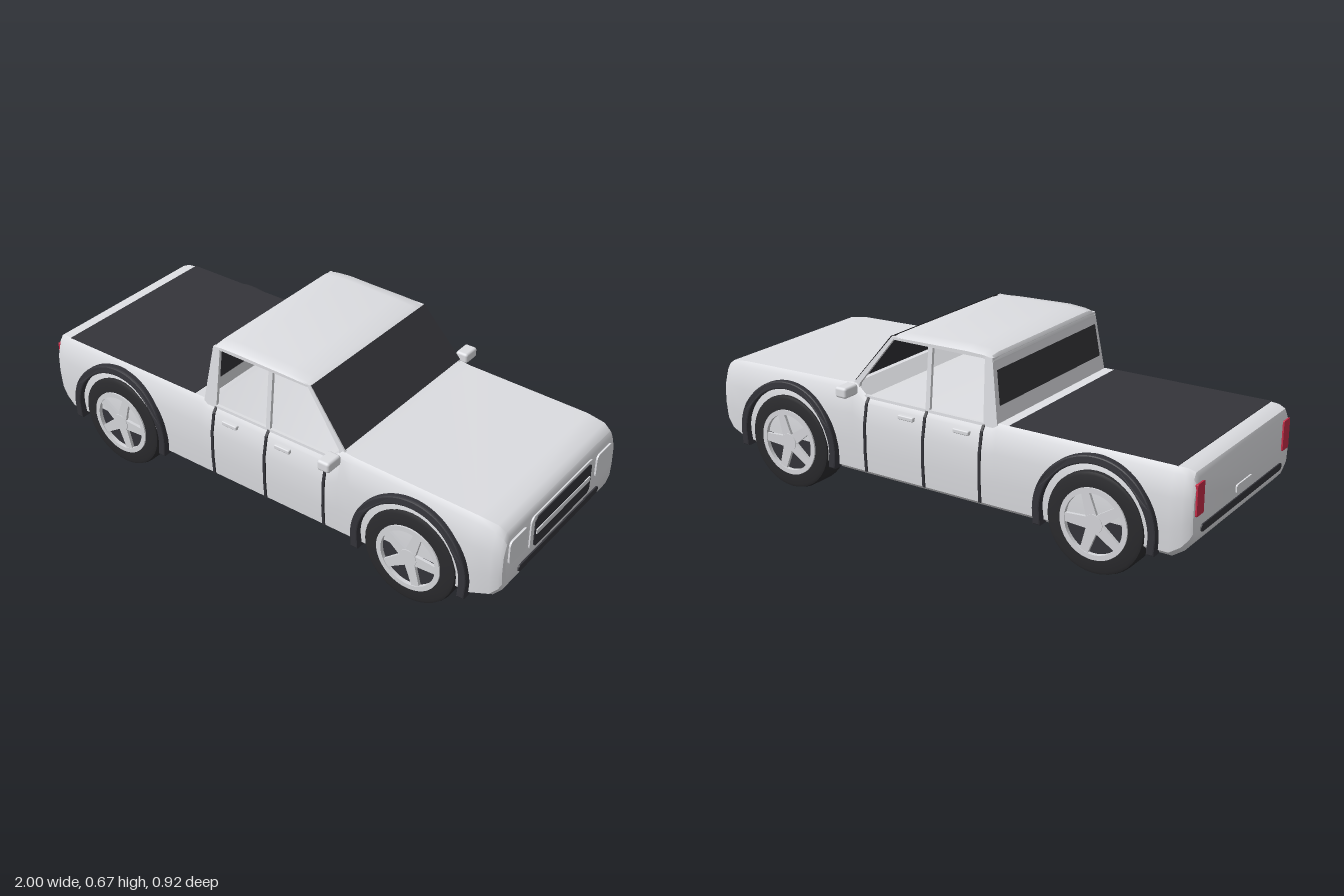
import * as THREE from 'three';
import { toCreasedNormals } from 'three/addons/utils/BufferGeometryUtils.js';
import { RoundedBoxGeometry } from 'three/addons/geometries/RoundedBoxGeometry.js';

const material = (name, color, side = THREE.FrontSide) => {
  const m = new THREE.MeshStandardMaterial({ color, side });
  m.name = name;
  return m;
};

// Joins rings of [x, y, z] points running up the +z side and down the -z side.
function loft(rings, crease) {
  const n = rings[0].length, index = [];
  for (let i = 0; i < rings.length - 1; i++) {
    for (let k = 0; k < n; k++) {
      const a = i * n + k, b = i * n + (k + 1) % n, c = b + n, d = a + n;
      index.push(a, d, b, b, d, c);
    }
  }
  const last = (rings.length - 1) * n;
  for (let k = 1; k < n - 1; k++) index.push(0, k, k + 1, last, last + k + 1, last + k);
  const g = new THREE.BufferGeometry();
  g.setAttribute('position', new THREE.Float32BufferAttribute(rings.flat(2), 3));
  g.setIndex(index);
  return toCreasedNormals(g, crease);
}

// Completes a half section [z, y] into a symmetric ring at x.
const ring = (x, half) => [
  ...half.map(([z, y]) => [x, y, z]),
  ...half.slice().reverse().map(([z, y]) => [x, y, -z]),
];

// Copies a geometry to the other side with its winding corrected.
function mirrorZ(geometry) {
  const g = geometry.index ? geometry.toNonIndexed() : geometry.clone();
  g.scale(1, 1, -1);
  for (const key of ['position', 'normal']) {
    const a = g.attributes[key];
    for (let i = 0; i < a.count; i += 3) {
      const p = [a.getX(i), a.getY(i), a.getZ(i)];
      a.setXYZ(i, a.getX(i + 1), a.getY(i + 1), a.getZ(i + 1));
      a.setXYZ(i + 1, ...p);
    }
  }
  return g;
}

// Moves each vertex sideways by a rule of its height.
function lean(g, rule) {
  const p = g.attributes.position;
  for (let i = 0; i < p.count; i++) p.setZ(i, p.getZ(i) + rule(p.getY(i)));
  g.computeVertexNormals();
  return g;
}

const polygon = (pts) => new THREE.Shape(pts.map((p) => new THREE.Vector2(...p)));

// Rounded plate in the z-y plane, centred on (x, y, z).
function endPlate(x, y, z, w, h, r, depth = 0.009) {
  const a = w / 2 - r, b = h / 2 - r, s = new THREE.Shape();
  s.absarc(a, b, r, 0, Math.PI / 2);
  s.absarc(-a, b, r, Math.PI / 2, Math.PI);
  s.absarc(-a, -b, r, Math.PI, Math.PI * 1.5);
  s.absarc(a, -b, r, Math.PI * 1.5, Math.PI * 2);
  const g = new THREE.ExtrudeGeometry(s, { depth, bevelEnabled: false, curveSegments: 5 });
  return g.translate(0, 0, -depth / 2).rotateY(Math.PI / 2).translate(x, y, z);
}

// Flat four-cornered panel across the car, between two [x, y, halfWidth] edges.
function crossPanel([x0, y0, w0], [x1, y1, w1]) {
  const g = new THREE.BufferGeometry();
  g.setAttribute('position', new THREE.Float32BufferAttribute(
    [x0, y0, w0, x0, y0, -w0, x1, y1, -w1, x1, y1, w1], 3));
  g.setIndex([0, 1, 2, 0, 2, 3]);
  g.computeVertexNormals();
  return g;
}

export function createModel() {
  const paint = material('paint', 0xdddee2);
  const panel = material('panel paint', 0xdddee2, THREE.DoubleSide);
  const dark = material('dark trim', 0x34343a);
  const glass = material('dark glass', 0x343439, THREE.DoubleSide);
  const rubber = material('rubber', 0x2b2b2e);
  const alloy = material('alloy', 0xd6d7db);
  const red = material('red lamp', 0xc52c48);

  const model = new THREE.Group();
  const add = (name, geometry, mat) => {
    const mesh = new THREE.Mesh(geometry, mat);
    mesh.name = name;
    model.add(mesh);
  };
  const pair = (name, geometry, mat) => {
    add(name + 'Near', geometry, mat);
    add(name + 'Far', mirrorZ(geometry), mat);
  };

  // Lower body: half sections along the length
  const section = (yb, yt, s) => {
    const at = (t) => yb + (yt - yb) * t;
    return [[0.355, yb], [0.384, yb + 0.022], [0.389, at(0.35)], [0.387, at(0.68)],
      [0.372, yt - 0.02], [0.357, yt]].map(([z, y]) => [z * s, y]);
  };
  const stations = [
    [-0.994, 0.2, 0.405, 0.955], [-0.985, 0.18, 0.422, 0.97], [-0.96, 0.15, 0.432, 0.985],
    [-0.92, 0.124, 0.434, 1], [-0.262, 0.121, 0.434, 1], [-0.235, 0.121, 0.42, 1],
    [0.3, 0.121, 0.42, 1], [0.35, 0.121, 0.464, 1], [0.4, 0.121, 0.458, 1],
    [0.88, 0.124, 0.446, 1], [0.95, 0.15, 0.437, 0.985], [0.978, 0.18, 0.418, 0.97],
    [0.988, 0.2, 0.4, 0.955],
  ];
  add('body', loft(stations.map(([x, yb, yt, s]) => ring(x, section(yb, yt, s))), 0.6), paint);
  add('bedCover', new THREE.BoxGeometry(0.625, 0.006, 0.714).translate(-0.615, 0.433, 0), dark);

  // Cab sides with open windows, leaning inwards towards the roof
  const cabSide = polygon([[-0.258, 0.415], [0.36, 0.415], [0.36, 0.463], [0.2, 0.655], [-0.222, 0.652]]);
  cabSide.holes.push(
    polygon([[-0.2, 0.425], [-0.192, 0.648], [0.024, 0.648], [0.024, 0.425]]),
    polygon([[0.042, 0.425], [0.042, 0.648], [0.19, 0.648], [0.335, 0.462], [0.335, 0.425]]));
  pair('cabSide', lean(new THREE.ExtrudeGeometry(cabSide, { depth: 0.012, bevelEnabled: false }),
    (y) => 0.35 - (y - 0.42) * 0.1), paint);

  // Roof, back wall and glass
  const roof = [[-0.226, 0.636, 0.645, 0.336], [-0.214, 0.64, 0.661, 0.338], [-0.185, 0.645, 0.667, 0.339],
    [-0.12, 0.645, 0.672, 0.34], [0.1, 0.645, 0.666, 0.34], [0.18, 0.645, 0.661, 0.34], [0.203, 0.645, 0.653, 0.338]];
  add('roof', loft(roof.map(([x, y0, y1, w]) => ring(x,
    [[w, y0], [w, y0 + (y1 - y0) * 0.5], [w - 0.012, y1 - 0.004], [w - 0.05, y1]])), 0.7), paint);
  add('cabBackWall', crossPanel([-0.258, 0.415, 0.362], [-0.223, 0.65, 0.338]), panel);
  // Rear glass shows on both faces of the wall
  for (const dx of [-0.002, 0.002]) {
    add('rearWindscreen', crossPanel([-0.2473 + dx, 0.487, 0.335], [-0.2293 + dx, 0.608, 0.325]), glass);
  }
  add('windscreen', crossPanel([0.358, 0.47, 0.354], [0.204, 0.656, 0.338]), glass);

  // Door seams follow the side of the body
  const side = section(0.121, 0.42, 1).slice(1);
  const seam = polygon([...side.map(([z, y]) => [z + 0.005, y]),
    ...side.slice().reverse().map(([z, y]) => [z - 0.004, y])]);
  for (const x of [-0.202, 0.036, 0.293]) {
    pair('doorSeam', new THREE.ExtrudeGeometry(seam, { depth: 0.01, bevelEnabled: false })
      .rotateY(-Math.PI / 2).translate(x + 0.005, 0, 0), dark);
  }
  for (const x of [-0.123, 0.112]) {
    pair('doorHandle', new RoundedBoxGeometry(0.066, 0.016, 0.02, 2, 0.004).translate(x, 0.383, 0.379), paint);
  }

  // Door mirrors
  pair('mirror', new RoundedBoxGeometry(0.05, 0.04, 0.072, 3, 0.01).translate(0.342, 0.453, 0.423), paint);

  // Wheels and arch flares
  const tyreProfile = [[0.12, -0.06], [0.165, -0.06], [0.177, -0.055], [0.182, -0.042],
    [0.182, 0.047], [0.178, 0.059], [0.168, 0.063], [0.122, 0.063], [0.118, 0.05]]
    .map((p) => new THREE.Vector2(...p));
  const tyre = toCreasedNormals(new THREE.LatheGeometry(tyreProfile, 40), 0.7).rotateX(Math.PI / 2);
  const flare = new THREE.Shape();
  flare.moveTo(0.222, -0.052);
  flare.lineTo(0.226, 0);
  flare.absarc(0, 0, 0.226, 0, Math.PI);
  flare.lineTo(-0.222, -0.052);
  flare.lineTo(-0.202, -0.052);
  flare.lineTo(-0.206, 0);
  flare.absarc(0, 0, 0.206, Math.PI, 0, true);
  flare.lineTo(0.202, -0.052);
  const flareOptions = {
    depth: 0.032, bevelEnabled: true, bevelThickness: 0.006, bevelSize: 0.005, bevelSegments: 2, curveSegments: 32,
  };
  const rim = new THREE.Shape().absarc(0, 0, 0.126, 0, Math.PI * 2);
  rim.holes.push(new THREE.Path().absarc(0, 0, 0.108, 0, Math.PI * 2));
  const spoke = polygon([[0.02, -0.021], [0.112, -0.015], [0.112, 0.015], [0.02, 0.021]]);
  const flat = (shape, depth) => new THREE.ExtrudeGeometry(shape, { depth, bevelEnabled: false, curveSegments: 32 });
  for (const x of [-0.655, 0.65]) {
    const place = (g, z) => g.translate(x, 0.182, z);
    pair('tyre', place(tyre.clone(), 0.333), rubber);
    pair('wheelDisc', place(new THREE.CylinderGeometry(0.12, 0.12, 0.108, 32).rotateX(Math.PI / 2), 0.333), dark);
    pair('rim', place(flat(rim, 0.02), 0.382), alloy);
    for (let i = 0; i < 5; i++) {
      pair('spoke', place(flat(spoke, 0.014).rotateZ(i * Math.PI * 0.4), 0.385), alloy);
    }
    pair('hub', place(new THREE.CylinderGeometry(0.034, 0.036, 0.02, 20).rotateX(Math.PI / 2), 0.391), alloy);
    pair('archFlare', lean(new THREE.ExtrudeGeometry(flare, flareOptions).translate(x, 0.186, 0.372),
      (y) => -0.13 * Math.max(0, y - 0.3)), dark);
  }

  // Nose: grille, headlights and lower intake
  add('grilleSurround', endPlate(0.989, 0.323, 0, 0.42, 0.138, 0.025), paint);
  add('grille', endPlate(0.992, 0.322, 0, 0.378, 0.12, 0.02), dark);
  add('grilleBar', endPlate(0.995, 0.322, 0, 0.36, 0.02, 0.003), paint);
  pair('headlight', endPlate(0.99, 0.333, 0.288, 0.11, 0.095, 0.018), paint);
  add('lowerIntake', endPlate(0.989, 0.222, 0, 0.54, 0.026, 0.012), dark);

  // Tail: lamps, bumper strip and tailgate handle
  pair('tailLamp', endPlate(-0.9955, 0.333, 0.335, 0.05, 0.11, 0.004), red);
  add('rearBumperStrip', endPlate(-0.994, 0.222, 0, 0.63, 0.026, 0.012), dark);
  add('tailgateHandle', endPlate(-0.995, 0.265, 0, 0.12, 0.03, 0.006), paint);

  return model;
}
